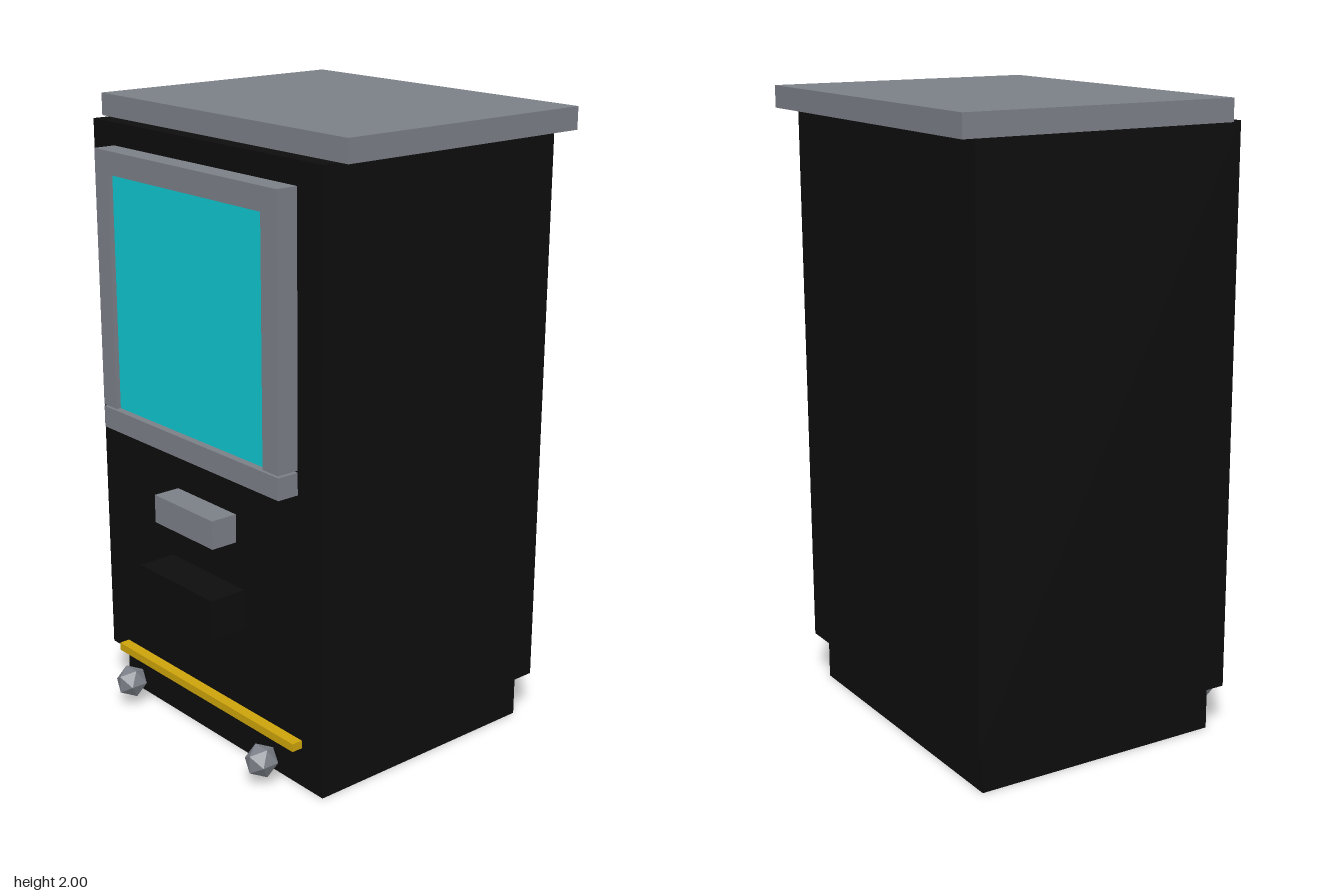
import * as THREE from 'three';

const mat = (name, color) => {
  const m = new THREE.MeshStandardMaterial({ color });
  m.name = name;
  return m;
};

export function createModel() {
  const black = mat('black', 0x0d0d0d);
  const grey = mat('steel grey', 0x7b7f87);
  const cyan = mat('screen cyan', 0x0fc6ce);
  const gold = mat('gold', 0xcca30a);

  const model = new THREE.Group();
  model.name = 'kiosk';

  // Box given by its limits on each axis
  const box = (parent, name, material, [x0, x1], [y0, y1], [z0, z1]) => {
    const mesh = new THREE.Mesh(new THREE.BoxGeometry(x1 - x0, y1 - y0, z1 - z0), material);
    mesh.position.set((x0 + x1) / 2, (y0 + y1) / 2, (z0 + z1) / 2);
    mesh.name = name;
    parent.add(mesh);
  };

  // Cabinet
  box(model, 'plinth', black, [-0.51, 0.506], [0, 0.15], [-0.452, 0.383]);
  box(model, 'cabinet', black, [-0.546, 0.543], [0.15, 1.93], [-0.485, 0.418]);
  box(model, 'roof', grey, [-0.581, 0.579], [1.93, 2], [-0.546, 0.362]);

  // Screen and its frame
  const screen = new THREE.Group();
  screen.name = 'screen';
  model.add(screen);
  const frameZ = [0.418, 0.49];
  box(screen, 'glass', cyan, [-0.368, 0.365], [1.042, 1.787], [0.418, 0.475]);
  box(screen, 'frameTop', grey, [-0.438, 0.435], [1.787, 1.859], frameZ);
  box(screen, 'frameBottom', grey, [-0.438, 0.435], [0.967, 1.036], frameZ);
  box(screen, 'frameRight', grey, [-0.438, -0.368], [1.042, 1.787], frameZ);
  box(screen, 'frameLeft', grey, [0.365, 0.435], [1.042, 1.787], frameZ);

  // Fittings below the screen
  box(model, 'slotPanel', grey, [-0.148, 0.144], [0.73, 0.821], [0.418, 0.508]);
  box(model, 'tray', black, [-0.183, 0.18], [0.46, 0.585], [0.418, 0.545]);
  box(model, 'trimStrip', gold, [-0.455, 0.451], [0.16, 0.186], [0.418, 0.454]);

  // Faceted feet
  for (const x of [-0.365, 0.325]) {
    const foot = new THREE.Mesh(new THREE.IcosahedronGeometry(0.054, 0), grey);
    foot.position.set(x, 0.085, 0.473);
    foot.name = x < 0 ? 'footRight' : 'footLeft';
    model.add(foot);
  }

  return model;
}
